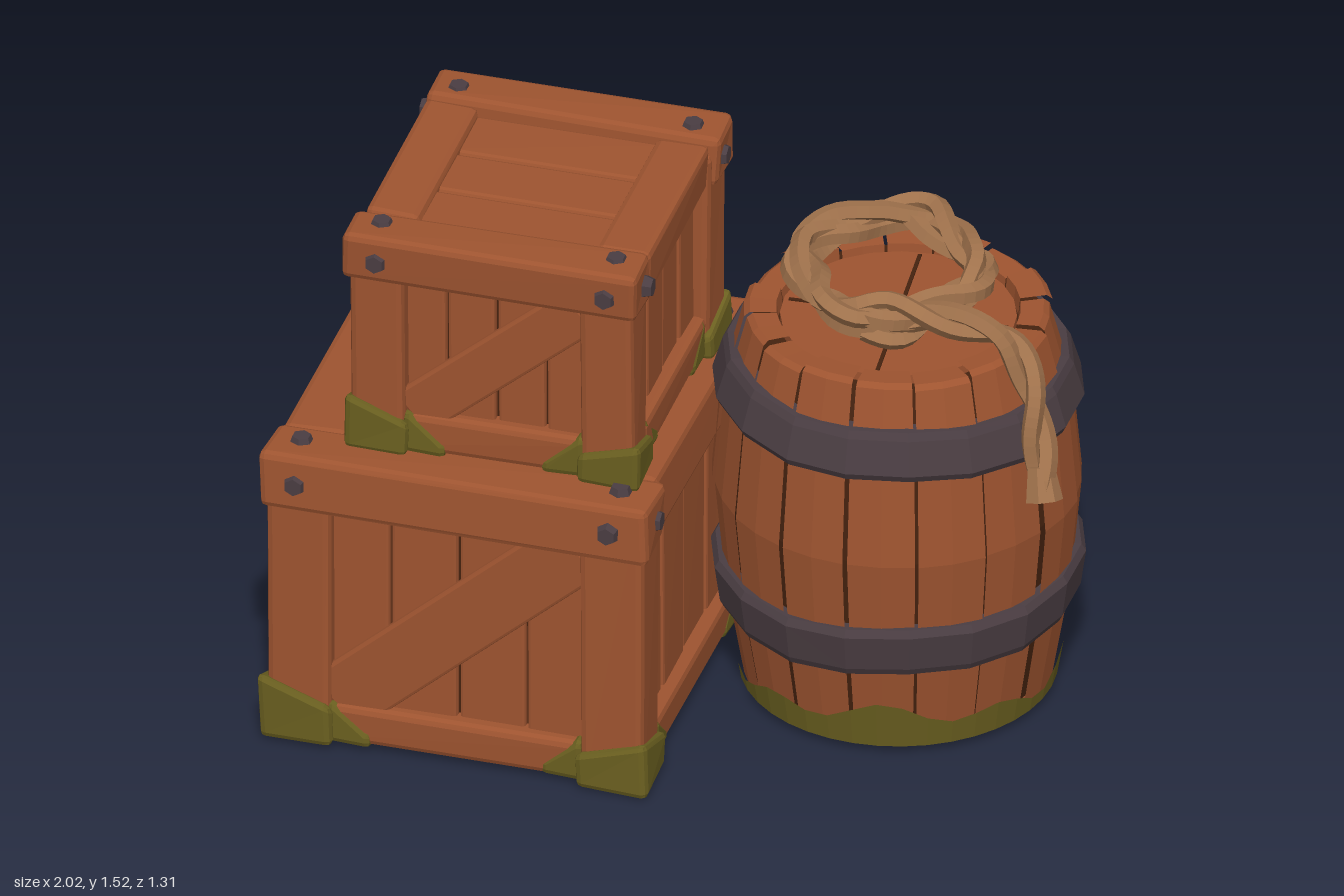
import * as THREE from 'three';
import { RoundedBoxGeometry } from 'three/addons/geometries/RoundedBoxGeometry.js';

const mat = (name, color) => Object.assign(new THREE.MeshStandardMaterial({ color }), { name });
const wood = mat('wood', 0x9e5430);
const gapWood = mat('dark gap', 0x45220f);
const metal = mat('dark iron', 0x4a3d42);
const moss = mat('moss', 0x6b6020);
const ropeMat = mat('rope', 0xa0724c);

// Faceted normals
function flat(g) {
  const out = g.index ? g.toNonIndexed() : g;
  out.computeVertexNormals();
  return out;
}

// Moves every vertex by a rule
function warp(g, rule) {
  const p = g.attributes.position, v = new THREE.Vector3();
  for (let i = 0; i < p.count; i++) {
    rule(v.fromBufferAttribute(p, i));
    p.setXYZ(i, v.x, v.y, v.z);
  }
  return g;
}

function add(parent, name, geometry, material) {
  const m = new THREE.Mesh(flat(geometry), material);
  m.name = name;
  parent.add(m);
  return m;
}

// Hand-hewn chamfered block, slightly uneven
function block(parent, name, material, size, pos, amp = 0.007, rule = null) {
  const g = new RoundedBoxGeometry(...size, 1, Math.min(0.018, Math.min(...size) * 0.3));
  if (rule) warp(g, rule);
  g.translate(...pos);
  warp(g, (v) => {
    const { x, y, z } = v;
    v.x += amp * Math.sin(9 * y + 13 * z + 1);
    v.y += amp * Math.sin(11 * x + 7 * z + 2);
    v.z += amp * Math.sin(8 * x + 12 * y + 3);
  });
  return add(parent, name, g, material);
}

function nail(parent, r, pos, rot) {
  const m = add(parent, 'nail', new THREE.CylinderGeometry(r * 0.75, r, 0.024, 6), metal);
  m.position.set(...pos);
  m.rotation.set(...rot);
}

function crate(name, [w, h, d], [cx, y0, cz], b, braceWidth) {
  const crateGroup = new THREE.Group();
  crateGroup.name = name;
  crateGroup.position.set(cx, y0, cz);
  const railH = b * 0.95, footH = 0.11;
  block(crateGroup, 'core', gapWood, [w - 0.13, h - 0.09, d - 0.13], [0, h / 2 - 0.005, 0], 0);
  block(crateGroup, 'floor', wood, [w - 0.06, 0.03, d - 0.06], [0, 0.025, 0], 0);

  // Four sides: planked panel, rails and diagonal brace
  [1, 0, -1, 1].forEach((slope, k) => {
    const W = k % 2 ? d : w, D = k % 2 ? w : d;
    const iw = W - 2 * b, ih = h - railH - footH, my = footH + ih / 2;
    const side = new THREE.Group();
    side.name = 'side';
    side.rotation.y = k * Math.PI / 2;
    crateGroup.add(side);
    const n = 4, pw = (iw + 0.06) / n;
    for (let i = 0; i < n; i++) {
      block(side, 'panelPlank', wood, [pw - 0.007, ih + 0.06, 0.03],
        [(i - (n - 1) / 2) * pw, my, D / 2 - 0.06 + 0.004 * (i % 2)], 0.002);
    }
    if (slope) {
      const brace = block(side, 'brace', wood, [Math.hypot(iw, ih) - 0.02, braceWidth, 0.03], [0, 0, 0], 0.003);
      brace.position.set(0, my, D / 2 - 0.034);
      brace.rotation.z = slope * Math.atan2(ih, iw);
    }
    block(side, 'bottomRail', wood, [iw + 0.04, footH, 0.08], [0, footH / 2 + 0.01, D / 2 - 0.05], 0.004);
    const proud = k % 2 ? 0 : 0.016;
    block(side, 'topBeam', wood, [k % 2 ? W - 2 * b + 0.04 : W + 0.03, railH, b],
      [0, h - railH / 2 - (k % 2 ? 0.012 : 0), D / 2 - b / 2 + proud]);
    // Nails at the beam ends
    for (const s of [-1, 1]) {
      nail(side, 0.033, [s * (W / 2 - b * 0.5), h - railH * 0.5, D / 2 + 0.02], [Math.PI / 2, 0, 0]);
      if (k % 2 === 0) nail(side, 0.033, [s * (W / 2 - b * 0.45), h + 0.002, D / 2 - b * 0.45], [0, 0, 0]);
    }
  });

  // Corner posts with moss creeping up from the foot
  let n = 0;
  for (const sx of [-1, 1]) for (const sz of [-1, 1]) {
    const px = sx * (w - b) / 2, pz = sz * (d - b) / 2;
    block(crateGroup, 'cornerPost', wood, [b, h - 0.05, b], [px, h / 2 - 0.015, pz], 0.005);
    const mh = [0.13, 0.19, 0.15, 0.16][n++] * (b / 0.17);
    const lower = (ax, az) => (v) => {
      if (v.y > 0) v.y -= mh * 0.35 * ((ax ? 0.5 - sx * v.x / b : 0) + (az ? 0.5 - sz * v.z / b : 0));
    };
    block(crateGroup, 'cornerMoss', moss, [b + 0.026, mh, b + 0.026],
      [px + sx * 0.004, mh / 2, pz + sz * 0.004], 0.005, lower(true, true));
    // Moss tongues along the rails, tapering to the ground
    const taper = (axis, s) => (v) => { if (v.y > 0 && v[axis] * s < 0) v.y -= 0.07; };
    block(crateGroup, 'railMoss', moss, [0.12, 0.12, 0.092],
      [sx * (w / 2 - b - 0.05), 0.066, sz * (d / 2 - 0.05)], 0.004, taper('x', sx));
    block(crateGroup, 'railMoss', moss, [0.092, 0.12, 0.12],
      [sx * (w / 2 - 0.05), 0.066, sz * (d / 2 - b - 0.05)], 0.004, taper('z', sz));
  }

  // Lid planks
  const ld = (d - 2 * b + 0.04) / 3;
  for (let i = -1; i <= 1; i++) {
    block(crateGroup, 'lidPlank', wood, [w - 2 * b + 0.05, 0.04, ld - 0.006], [0, h - 0.05, i * ld], 0.002);
  }
  return crateGroup;
}

// Barrel radius at a height
const profile = [[0.02, 0.402], [0.3, 0.45], [0.6, 0.478], [0.86, 0.455], [1.1, 0.395]];
function radiusAt(y) {
  for (let i = 1; i < profile.length; i++) {
    const [y0, r0] = profile[i - 1], [y1, r1] = profile[i];
    if (y <= y1) return r0 + (r1 - r0) * (y - y0) / (y1 - y0);
  }
  return 0.395;
}
const V2 = (x, y) => new THREE.Vector2(x, y);

function barrel() {
  const g = new THREE.Group();
  g.name = 'barrel';
  g.position.set(0.49, 0, -0.17);
  add(g, 'core', new THREE.LatheGeometry([V2(0, 0.04), ...profile.map(([y, r]) => V2(r - 0.018, Math.min(Math.max(y, 0.04), 1.05))), V2(0, 1.05)], 32), gapWood);

  // Staves with narrow gaps
  const count = 16, step = Math.PI * 2 / count;
  for (let i = 0; i < count; i++) {
    const dr = 0.005 * Math.sin(i * 2.7), gap = 0.022 + 0.008 * Math.sin(i * 5.1), top = 1.1 + 0.007 * Math.sin(i * 3.9);
    const pts = [V2(0.32, 0.02), ...profile.map(([y, r], j) => V2(r + dr, j === 4 ? top - 0.012 : y)),
      V2(0.38 + dr, top), V2(0.315, top - 0.005), V2(0.31, 1.05)];
    add(g, 'stave', new THREE.LatheGeometry(pts, 2, i * step + gap / 2, step - gap), wood);
  }

  // Head and base discs
  add(g, 'head', new THREE.CylinderGeometry(0.305, 0.305, 0.04, 24).translate(0, 1.055, 0), wood);
  add(g, 'base', new THREE.CylinderGeometry(0.385, 0.385, 0.02, 24).translate(0, 0.035, 0), wood);
  for (const a of [0.05, Math.PI / 2 + 0.1]) {
    add(g, 'headSeam', new THREE.BoxGeometry(0.58, 0.006, 0.01).rotateY(a).translate(0, 1.076, 0), gapWood);
  }

  // Iron hoops, a little dented
  for (const [y0, y1, ra, rb, tilt] of [[0.26, 0.4, 0.472, 0.486, 0.01], [0.855, 0.985, 0.482, 0.455, -0.012]]) {
    const hoop = new THREE.LatheGeometry([V2(0.4, y0), V2(ra - 0.01, y0), V2(ra, y0 + 0.02), V2(rb, y1 - 0.02), V2(rb - 0.012, y1), V2(0.38, y1)], 18);
    add(g, 'hoop', warp(hoop, (v) => {
      const a = Math.atan2(v.x, v.z);
      v.y += tilt * Math.sin(a) + 0.006 * Math.sin(5 * a);
    }), metal);
  }

  // Ragged moss skirt
  const skirt = new THREE.LatheGeometry([V2(1, 0), V2(1, 0.5), V2(1, 1)], 40);
  add(g, 'mossSkirt', warp(skirt, (v) => {
    const a = Math.atan2(v.x, v.z);
    const y = 0.02 + v.y * (0.085 + 0.03 * Math.sin(3 * a + 1) + 0.025 * Math.sin(8 * a));
    const r = radiusAt(y) + 0.009;
    v.set(r * Math.sin(a), y, r * Math.cos(a));
  }), moss);
  return g;
}

// Coiled two-strand rope with a hanging tail
function rope() {
  const g = new THREE.Group();
  g.name = 'rope';
  const pts = [];
  const turns = 2.05, n = 32;
  for (let i = 0; i <= n; i++) {
    const t = i / n, a = Math.PI * 0.4 + (1 - t) * turns * Math.PI * 2;
    const r = 0.215 + 0.02 * Math.sin(i * 1.7) + 0.012 * t;
    pts.push(new THREE.Vector3(0.46 + r * Math.cos(a), 1.165 + 0.06 * t - 0.1 * r * Math.sin(a), -0.195 + r * Math.sin(a)));
  }
  for (const p of [[0.68, 1.19, 0.0], [0.83, 1.15, -0.01], [0.9, 1.04, 0.02], [0.935, 0.91, 0.06], [0.957, 0.79, 0.1]]) {
    pts.push(new THREE.Vector3(...p));
  }
  const path = new THREE.CatmullRomCurve3(pts), N = 140;
  const frames = path.computeFrenetFrames(N, false);
  for (const phase of [0, Math.PI]) {
    const strand = [];
    for (let i = 0; i <= N; i++) {
      const a = phase + i * 0.38;
      strand.push(path.getPointAt(i / N)
        .addScaledVector(frames.normals[i], 0.021 * Math.cos(a))
        .addScaledVector(frames.binormals[i], 0.021 * Math.sin(a)));
    }
    add(g, 'strand', new THREE.TubeGeometry(new THREE.CatmullRomCurve3(strand), 150, 0.027, 5), ropeMat);
  }
  // Bound end
  const end = add(g, 'ropeEnd', new THREE.CylinderGeometry(0.036, 0.05, 0.09, 7), ropeMat);
  end.position.set(0.957, 0.805, 0.1);
  end.rotation.set(-0.35, 0, 0.2);
  return g;
}

export function createModel() {
  const model = new THREE.Group();
  model.name = 'cratesAndBarrel';
  model.add(crate('largeCrate', [1.01, 0.865, 1.06], [-0.47, 0.005, 0.09], 0.17, 0.19));
  model.add(crate('smallCrate', [0.76, 0.65, 0.82], [-0.395, 0.855, 0.11], 0.145, 0.14));
  model.add(barrel());
  model.add(rope());
  return model;
}
